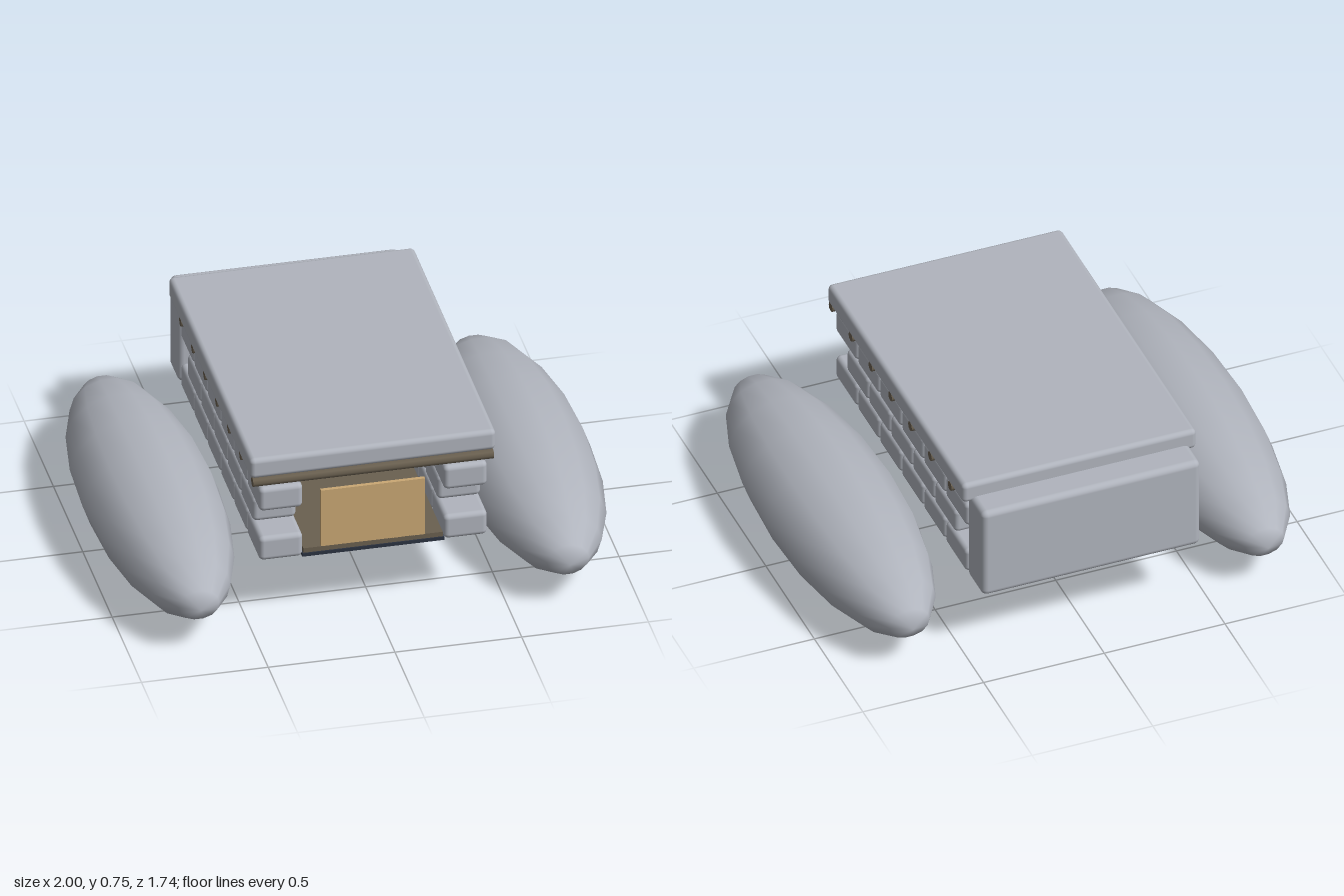
import * as THREE from 'three';
import { RoundedBoxGeometry } from 'three/addons/geometries/RoundedBoxGeometry.js';

function material(name, color) {
  const m = new THREE.MeshStandardMaterial({ color });
  m.name = name;
  return m;
}

export function createModel() {
  const group = new THREE.Group();
  const stone = material('stone grey', 0xb0b4bd);
  const wood = material('dark wood', 0x6a6050);
  const hide = material('tan hide', 0xcaa874);
  const ground = material('dark slate', 0x2b3240);

  function add(name, geometry, mat, x, y, z, parent = group) {
    const mesh = new THREE.Mesh(geometry, mat);
    mesh.name = name;
    mesh.position.set(x, y, z);
    parent.add(mesh);
    return mesh;
  }

  // Roof slab, very slightly tilted
  const roof = add('roofSlab', new RoundedBoxGeometry(0.97, 0.088, 1.4, 3, 0.02), stone, -0.01, 0.703, -0.025);
  roof.rotation.set(0.005, 0, 0.004);

  // Back wall block
  add('backWall', new RoundedBoxGeometry(0.905, 0.4, 0.16, 3, 0.025), stone, -0.0125, 0.488, -0.762);

  // Side walls: three courses of blocks, the middle one staggered
  const block = new RoundedBoxGeometry(0.172, 0.105, 0.216, 3, 0.02);
  for (const side of [-1, 1]) {
    const wall = new THREE.Group();
    wall.name = side > 0 ? 'leftWall' : 'rightWall';
    group.add(wall);
    for (let row = 0; row < 3; row++) {
      const staggered = row === 1;
      const count = staggered ? 5 : 6;
      for (let i = 0; i < count; i++) {
        const z = (staggered ? 0.458 : 0.572) - i * 0.2268;
        add('wallBlock', block, stone, -0.01 + side * 0.364, 0.338 + row * 0.11, z, wall);
      }
    }
  }

  // Roof poles lying across the walls
  const pole = new THREE.CylinderGeometry(0.02, 0.02, 0.95, 8).rotateZ(Math.PI / 2);
  for (let i = 0; i < 7; i++) add('roofPole', pole, wood, -0.01, 0.638, 0.663 - i * 0.2045);

  // Floor with boards on top
  add('floorBase', new THREE.BoxGeometry(0.56, 0.014, 1.34), ground, -0.01, 0.29, 0.005);
  add('floorBoards', new THREE.BoxGeometry(0.55, 0.02, 1.33), wood, -0.01, 0.307, 0.005);

  // Door curtain
  add('doorCurtain', new THREE.BoxGeometry(0.41, 0.25, 0.016), hide, -0.01, 0.441, 0.662);

  // Long boulders: stretched spheres with gently uneven outlines
  function boulder(name, x, z, rx, ry, rz, seed) {
    const geo = new THREE.SphereGeometry(1, 14, 10).rotateX(Math.PI / 2);
    const p = geo.attributes.position;
    for (let i = 0; i < p.count; i++) {
      const a = Math.atan2(p.getY(i), p.getX(i));
      const k = 1 + 0.02 * Math.cos(4 * a) * Math.cos(2 * p.getZ(i) + seed) - 0.015;
      p.setXYZ(i, p.getX(i) * rx * k, p.getY(i) * ry * k, p.getZ(i) * rz);
    }
    geo.computeVertexNormals();
    // Weld the shading along the seam and at both tips
    const n = geo.attributes.normal;
    const cols = 15;
    for (let r = 0; r <= 10; r++) {
      const a = r * cols, b = a + cols - 1;
      if (r === 0 || r === 10) {
        for (let i = a; i <= b; i++) n.setXYZ(i, 0, 0, Math.sign(p.getZ(a)));
      } else {
        const v = new THREE.Vector3().fromBufferAttribute(n, a)
          .add(new THREE.Vector3().fromBufferAttribute(n, b)).normalize();
        n.setXYZ(a, v.x, v.y, v.z);
        n.setXYZ(b, v.x, v.y, v.z);
      }
    }
    add(name, geo, stone, x, 0.213, z);
  }
  boulder('rightBoulder', -0.733, -0.002, 0.268, 0.208, 0.868, 0.4);
  boulder('leftBoulder', 0.726, 0.008, 0.275, 0.213, 0.848, -0.6);

  return group;
}
